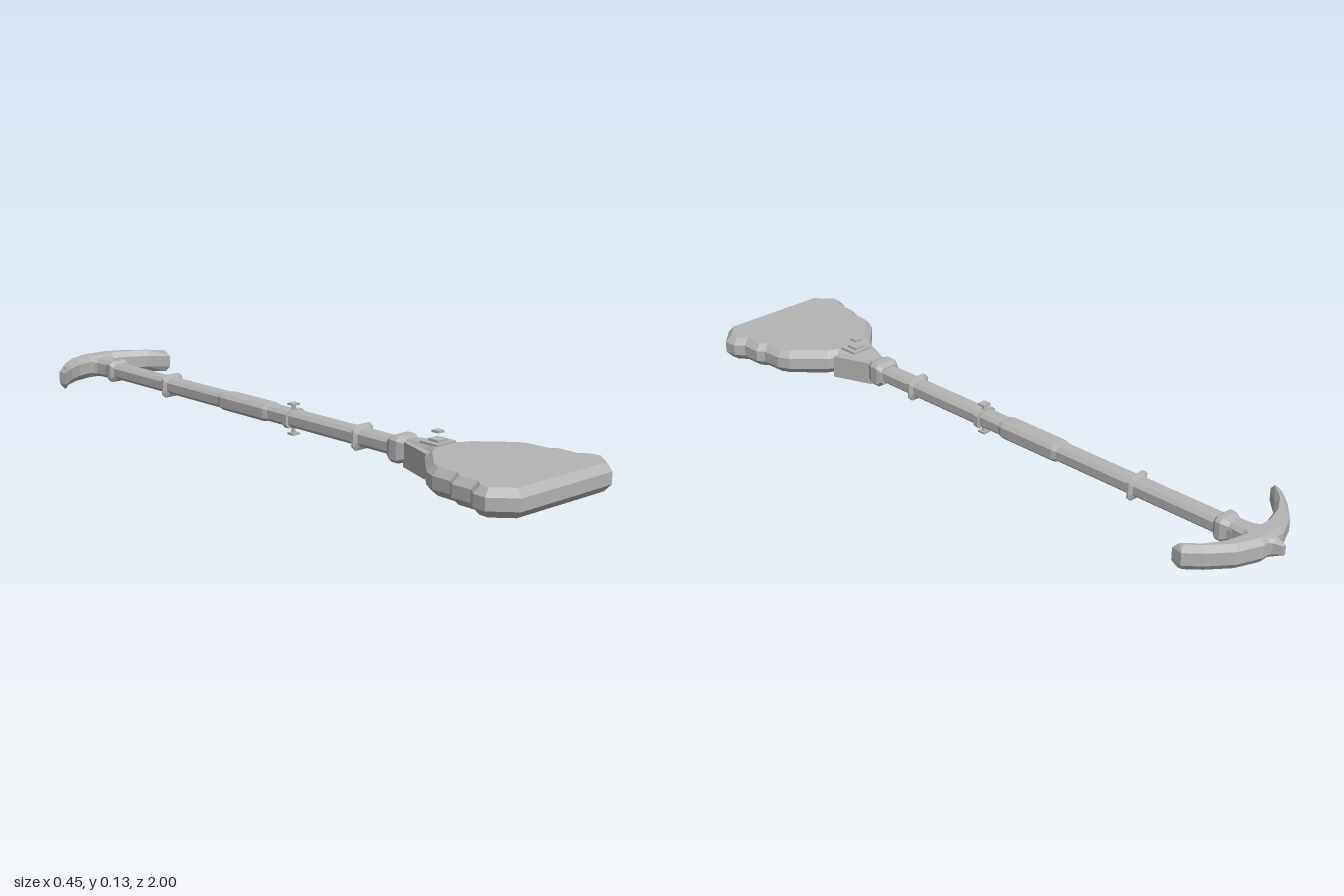
import * as THREE from 'three';

const MID = 0.062; // height of the tool's axis

export function createModel() {
  const model = new THREE.Group();
  const grey = new THREE.MeshStandardMaterial({ color: 0xb4b4b4, flatShading: true });
  grey.name = 'grey metal';

  const add = (name, geometry, x = 0, y = 0, z = 0) => {
    const mesh = new THREE.Mesh(geometry, grey);
    mesh.name = name;
    mesh.position.set(x, y, z);
    model.add(mesh);
    return mesh;
  };
  const box = (name, w, h, d, y, z, x = 0) => add(name, new THREE.BoxGeometry(w, h, d), x, y, z);

  // Chamfered bar along z; each section is [z, half width, half height, centre y]
  const bar = (name, sections, chamfer = 0.01) => {
    const pos = [], index = [], n = 8;
    for (const [z, w, h, cy = MID] of sections) {
      const c = Math.min(chamfer, w * 0.6, h * 0.6);
      for (const [x, y] of [[w, c - h], [w, h - c], [w - c, h], [c - w, h],
        [-w, h - c], [-w, c - h], [c - w, -h], [w - c, -h]]) pos.push(x, cy + y, z);
    }
    const last = (sections.length - 1) * n;
    for (let s = 0; s < last; s += n) {
      for (let i = 0; i < n; i++) {
        const a = s + i, b = s + (i + 1) % n;
        index.push(a, b, b + n, a, b + n, a + n);
      }
    }
    for (let i = 1; i < n - 1; i++) {
      index.push(0, i + 1, i, last, last + i, last + i + 1);
    }
    const g = new THREE.BufferGeometry();
    g.setAttribute('position', new THREE.Float32BufferAttribute(pos, 3));
    g.setIndex(index);
    const flat = g.toNonIndexed();
    flat.computeVertexNormals();
    return add(name, flat);
  };

  // Bevelled slab lying flat, mirrored from the +x half of its [x, z] outline
  const slab = (name, half, y0, y1, bevel, thickness) => {
    const mirrored = half.filter(p => p[0] > 0).reverse().map(([x, z]) => [-x, z]);
    const shape = new THREE.Shape([...half, ...mirrored].map(([x, z]) => new THREE.Vector2(x, z)));
    const g = new THREE.ExtrudeGeometry(shape, {
      depth: y1 - y0 - 2 * thickness, bevelEnabled: bevel > 0, bevelSegments: 1,
      bevelSize: bevel, bevelOffset: -bevel, bevelThickness: thickness,
    });
    g.rotateX(Math.PI / 2);
    return add(name, g, 0, y1 - thickness, 0);
  };

  // Blade with notched sides
  slab('blade', [[0.17, 1], [0.227, 0.94], [0.224, 0.9], [0.203, 0.875], [0.203, 0.815],
    [0.187, 0.795], [0.185, 0.735], [0.168, 0.7], [0.085, 0.615], [0.045, 0.595]], 0.027, 0.1, 0.018, 0.02);

  // Neck between blade and shaft
  slab('neckFlare', [[0.072, 0.605], [0.028, 0.485]], 0.02, 0.088, 0, 0);
  bar('neckTang', [[0.45, 0.022, 0.028], [0.52, 0.03, 0.034], [0.58, 0.04, 0.037], [0.63, 0.06, 0.037]]);
  bar('socket', [[0.43, 0.034, 0.026], [0.445, 0.04, 0.036], [0.47, 0.04, 0.036], [0.49, 0.03, 0.03]]);

  // Pivot bolt through the neck
  box('pivotWasherTop', 0.07, 0.006, 0.06, 0.102, 0.58);
  box('pivotNutTop', 0.036, 0.007, 0.036, 0.1075, 0.58);
  box('pivotCapTop', 0.024, 0.006, 0.024, 0.13, 0.58);
  box('pivotWasherBottom', 0.07, 0.014, 0.09, 0.019, 0.6);
  box('pivotNutBottom', 0.044, 0.006, 0.044, 0.01, 0.58);
  box('pivotCapBottom', 0.024, 0.008, 0.024, 0.004, 0.58);

  // Shaft with a thicker grip
  bar('shaft', [[-0.86, 0.028, 0.022], [0.45, 0.028, 0.022]]);
  bar('grip', [[-0.275, 0.029, 0.022], [-0.26, 0.034, 0.024], [-0.07, 0.034, 0.024], [-0.055, 0.029, 0.022]]);

  // Raised rings
  for (const z of [-0.535, 0.305]) {
    bar('ring', [[z - 0.01, 0.029, 0.023], [z - 0.003, 0.038, 0.035], [z + 0.003, 0.038, 0.035],
      [z + 0.01, 0.029, 0.023]], 0.012);
  }

  // Cross pin with caps above and below
  bar('pinBand', [[0.02, 0.036, 0.025], [0.036, 0.036, 0.025]]);
  add('pin', new THREE.CylinderGeometry(0.006, 0.006, 0.084, 6), 0, 0.06, 0.028);
  for (const y of [0.017, 0.103]) box('pinCap', 0.026, 0.006, 0.024, y, 0.028);

  // Curved end handle with collar and point
  slab('handle', [[0, -0.905], [0.045, -0.908], [0.1, -0.893], [0.15, -0.863], [0.203, -0.813],
    [0.208, -0.845], [0.17, -0.888], [0.11, -0.938], [0.04, -0.967], [0, -0.967]].reverse(), 0.03, 0.1, 0.012, 0.017);
  bar('handlePoint', [[-1, 0.004, 0.014, 0.067], [-0.975, 0.014, 0.024, 0.065], [-0.95, 0.035, 0.03, 0.065]]);
  bar('handleNeck', [[-0.93, 0.05, 0.03], [-0.895, 0.03, 0.027], [-0.85, 0.026, 0.027],
    [-0.83, 0.036, 0.033], [-0.815, 0.036, 0.033], [-0.805, 0.029, 0.024]]);

  return model;
}
